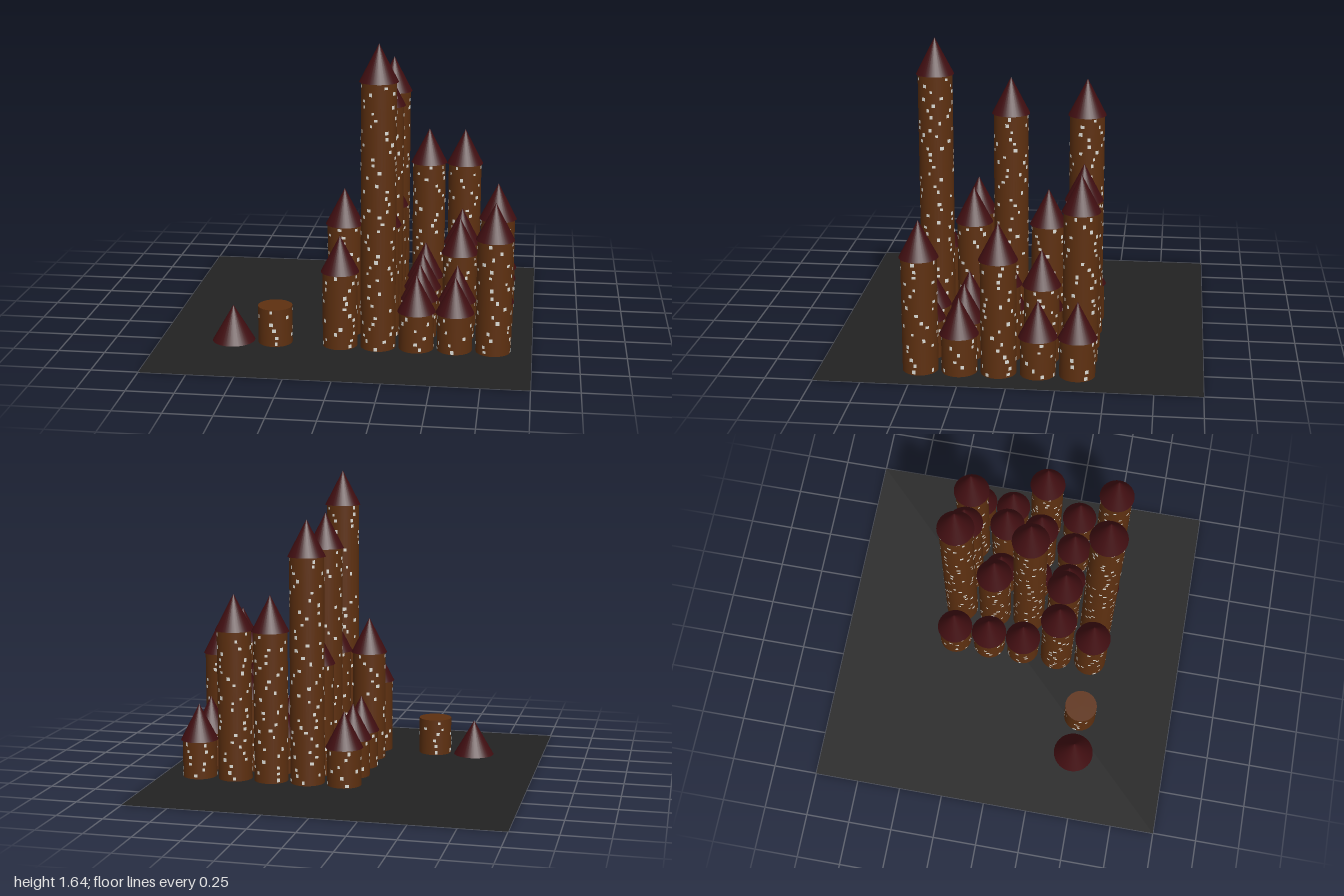
import * as THREE from 'three';
import { mergeGeometries } from 'three/addons/utils/BufferGeometryUtils.js';

const STOREY = 0.206, ROOF_HEIGHT = 0.198, SPACING = 0.205;

// storeys of each tower: rows run back to front, columns left to right as seen from the front
const STOREYS = [
  [1, 6, 4, 4, 1],
  [1, 3, 1, 2, 1],
  [1, 6, 1, 2, 3],
  [3, 3, 1, 1, 1],
  [2, 7, 1, 1, 3],
];

function seededRandom(seed) {
  let s = seed;
  return () => (s = (s * 16807) % 2147483647) / 2147483647;
}

export function createModel() {
  const paint = (name, color) => {
    const m = new THREE.MeshStandardMaterial({ color });
    m.name = name;
    return m;
  };
  const groundMat = paint('darkGrey', 0x222222);
  groundMat.side = THREE.DoubleSide;
  const wallMat = paint('brown', 0x5e3010);
  const roofMat = paint('darkRed', 0x400e11);
  const windowMat = paint('paleGrey', 0xdcdcd6);
  const random = seededRandom(4271);

  const model = new THREE.Group();
  model.name = 'towerCity';

  const add = (parent, name, geometry, material, y = 0) => {
    const mesh = new THREE.Mesh(geometry, material);
    mesh.name = name;
    mesh.position.y = y;
    parent.add(mesh);
  };

  const addRoof = (parent, radius, y) =>
    add(parent, 'roof', new THREE.ConeGeometry(radius, ROOF_HEIGHT, 32), roofMat, y + ROOF_HEIGHT / 2);

  // round wall with small scattered windows lying on its surface
  const addWall = (parent, radius, storeys) => {
    const height = storeys * STOREY;
    add(parent, 'wall', new THREE.CylinderGeometry(radius, radius, height, 32), wallMat, height / 2);
    const panes = [];
    const rows = storeys * 6, step = height / rows;
    for (let row = 0; row < rows; row++) {
      const turn = random() * Math.PI * 2;
      for (let i = 0; i < 4; i++) {
        const angle = turn + (i + random() * 0.6) * Math.PI / 2;
        const w = 0.013 + random() * 0.009, h = 0.013 + random() * 0.009;
        const r = radius + 0.0015;
        const pane = new THREE.CylinderGeometry(r, r, h, 2, 1, true, angle, w / r);
        pane.translate(0, (row + 0.5) * step + (random() - 0.5) * 0.01, 0);
        panes.push(pane);
      }
    }
    add(parent, 'windows', mergeGeometries(panes), windowMat);
  };

  const place = (name, x, z) => {
    const group = new THREE.Group();
    group.name = name;
    group.position.set(x, 0, z);
    model.add(group);
    return group;
  };

  // ground
  add(model, 'ground', new THREE.PlaneGeometry(2, 2).rotateX(-Math.PI / 2), groundMat);

  // block of towers
  STOREYS.forEach((line, row) => line.forEach((storeys, col) => {
    const tower = place('tower', -0.025 + col * SPACING, -0.35 + row * SPACING);
    addWall(tower, 0.0935, storeys);
    addRoof(tower, 0.1025, storeys * STOREY);
  }));

  // loose pieces beside the block
  addWall(place('looseWall', -0.378, 0.467), 0.0925, 1);
  addRoof(place('looseRoof', -0.607, 0.467), 0.115, 0);

  return model;
}
